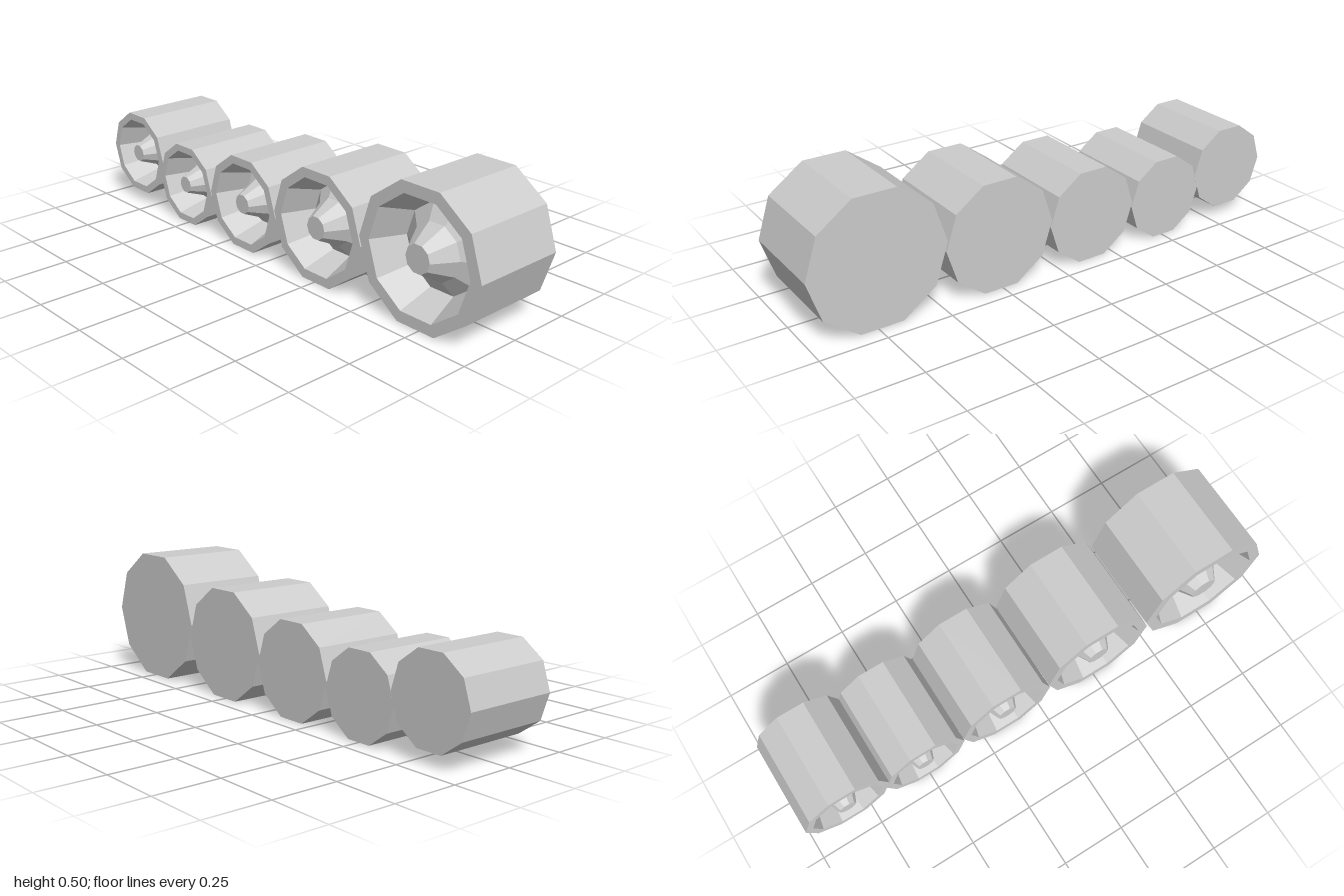
import * as THREE from 'three';

const HALF_DEPTH = 0.187;

// Wheel profile: [fraction of the radius, z], from the closed back to the hub cap
const PROFILE = [
  [0, -HALF_DEPTH], [1, -HALF_DEPTH], // back face
  [1, HALF_DEPTH], [0.83, HALF_DEPTH], // tread and rim
  [0.62, 0.06], // sloped recess
  [0.4, 0.1], // shallow dish
  [0.2, HALF_DEPTH], [0, HALF_DEPTH], // hub cone and cap
];

// Ten-sided wheel, axis along z, with a corner on each side
function wheelGeometry(radius) {
  const points = PROFILE.map(([r, z]) => new THREE.Vector2(r * radius, z));
  return new THREE.LatheGeometry(points, 10, Math.PI / 2).rotateX(Math.PI / 2);
}

export function createModel() {
  const group = new THREE.Group();
  group.name = 'wheelRow';
  const material = new THREE.MeshStandardMaterial({ color: 0xcccccc, flatShading: true });

  // Centre x, centre y, radius
  const wheels = [
    [-0.828, 0.214, 0.172],
    [-0.505, 0.164, 0.167],
    [-0.15, 0.184, 0.19],
    [0.257, 0.213, 0.222],
    [0.736, 0.255, 0.264],
  ];
  wheels.forEach(([x, y, radius], i) => {
    const wheel = new THREE.Mesh(wheelGeometry(radius), material);
    wheel.name = `wheel${i + 1}`;
    wheel.position.set(x, y, 0);
    group.add(wheel);
  });
  return group;
}
